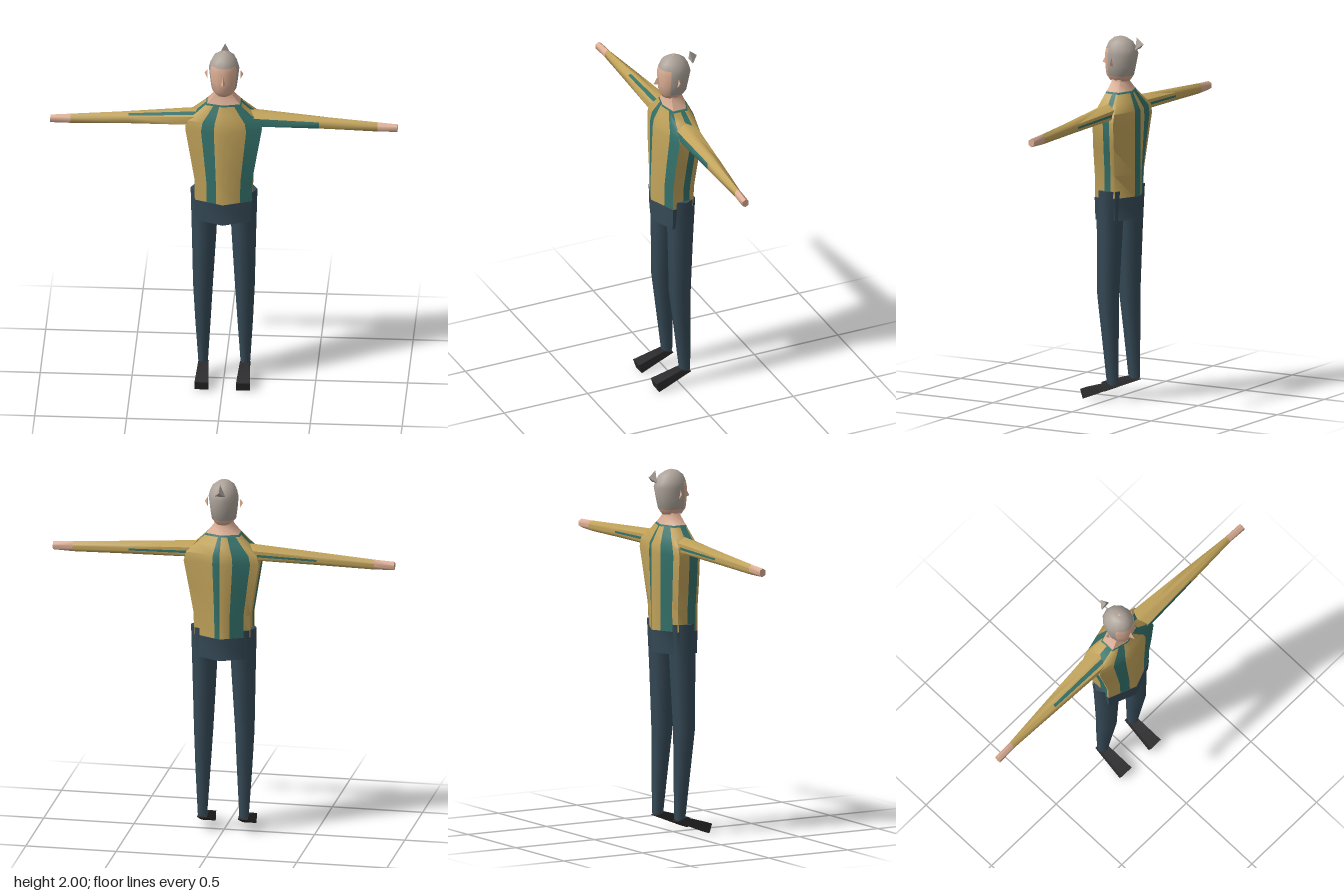
import * as THREE from 'three';
import { toCreasedNormals } from 'three/addons/utils/BufferGeometryUtils.js';
import { ConvexGeometry } from 'three/addons/geometries/ConvexGeometry.js';

const V = (x, y, z) => new THREE.Vector3(x, y, z);
const material = (name, color) => {
  const m = new THREE.MeshStandardMaterial({ color });
  m.name = name;
  return m;
};

// Joins rings of points into a closed body; paint(row, column) picks the material index.
function loft(name, rings, mats, paint = () => 0) {
  const n = rings[0].length;
  const points = rings.flat();
  const faces = mats.map(() => []);
  for (let r = 0; r < rings.length - 1; r++) {
    for (let c = 0; c < n; c++) {
      const a = r * n + c, b = r * n + (c + 1) % n;
      faces[paint(r, c)].push(a, b, a + n, b, b + n, a + n);
    }
  }
  // End caps
  [0, rings.length - 1].forEach((r, end) => {
    const mid = V(0, 0, 0);
    rings[r].forEach((p) => mid.addScaledVector(p, 1 / n));
    points.push(mid);
    for (let c = 0; c < n; c++) {
      const a = r * n + c, b = r * n + (c + 1) % n;
      faces[0].push(...(end ? [a, b, points.length - 1] : [b, a, points.length - 1]));
    }
  });
  // Turn all faces outwards
  const index = faces.flat();
  let volume = 0;
  const cross = V(0, 0, 0);
  for (let i = 0; i < index.length; i += 3) {
    volume += cross.crossVectors(points[index[i]], points[index[i + 1]]).dot(points[index[i + 2]]);
  }
  if (volume < 0) {
    for (let i = 0; i < index.length; i += 3) [index[i], index[i + 1]] = [index[i + 1], index[i]];
  }
  const geo = new THREE.BufferGeometry().setFromPoints(points);
  geo.setIndex(index);
  let start = 0;
  faces.forEach((f, i) => {
    geo.addGroup(start, f.length, i);
    start += f.length;
  });
  const mesh = new THREE.Mesh(toCreasedNormals(geo, 1.15), mats);
  mesh.name = name;
  return mesh;
}

// Points at the given positions along a polygon, one unit per corner.
const alongPolygon = (corners, cuts) => cuts.map((u) => {
  const i = Math.floor(u);
  return corners[i % corners.length].clone().lerp(corners[(i + 1) % corners.length], u - i);
});

// Horizontal oval ring between two depths.
const oval = (sides, cx, y, hx, z0, z1, turn = 0) => Array.from({ length: sides }, (_, i) => {
  const a = (i + turn) / sides * Math.PI * 2;
  return V(cx + hx * Math.cos(a), y, (z0 + z1) / 2 + (z1 - z0) / 2 * Math.sin(a));
});

export function createModel() {
  const model = new THREE.Group();
  const cloth = material('mustard cloth', 0xc0a25a);
  const stripe = material('teal stripe', 0x34716a);
  const trousers = material('dark blue trousers', 0x364a57);
  const skin = material('skin', 0xdcae94);
  const hair = material('grey hair', 0xaca299);
  const shoe = material('black shoe', 0x2c2b2d);
  const convex = (name, mat, pts) => {
    const mesh = new THREE.Mesh(new ConvexGeometry(pts.map((p) => V(...p))), mat);
    mesh.name = name;
    model.add(mesh);
  };

  // Torso, hexagonal: y, half width, front z, front corner z, back corner z, back z
  const hexagon = ([y, w, f, fc, bc, b]) =>
    [V(0, y, f), V(w, y, fc), V(w, y, bc), V(0, y, b), V(-w, y, bc), V(-w, y, fc)];
  const bands = [[0.6, 1], [1.5, 1.8], [2.8, 3], [3.33, 3.78], [4.5, 4.9], [5.42, 5.76]];
  const cuts = [...new Set([0, 1, 2, 3, 4, 5, ...bands.flat()])].sort((a, b) => a - b);
  const torso = [
    [1.12, 0.155, 0.12, 0.06, -0.06, -0.135],
    [1.25, 0.157, 0.118, 0.06, -0.065, -0.135],
    [1.4, 0.182, 0.108, 0.055, -0.075, -0.136],
    [1.55, 0.208, 0.1, 0.045, -0.085, -0.137],
    [1.6, 0.195, 0.093, 0.04, -0.085, -0.135],
    [1.65, 0.14, 0.073, 0.035, -0.07, -0.11],
    [1.692, 0.097, 0.053, 0.03, -0.055, -0.088],
    [1.702, 0.09, 0.05, 0.028, -0.05, -0.083],
  ].map((r) => alongPolygon(hexagon(r), cuts));
  const banded = (c) => bands.some(([a, b]) => cuts[c] >= a && cuts[c] < b);
  model.add(loft('stripedTop', torso, [cloth, stripe], (r, c) => (r === 6 || banded(c) ? 1 : 0)));

  // Hips and neck
  model.add(loft('hips', [
    [1.0, 0.15, 0.12, 0.06, -0.06, -0.13], [1.125, 0.157, 0.122, 0.061, -0.061, -0.136],
  ].map(hexagon), [trousers]));
  model.add(loft('neck', [
    [1.7, 0.09, 0.05, 0.028, -0.05, -0.083],
    [1.75, 0.05, 0.03, 0.018, -0.035, -0.06],
    [1.78, 0.045, 0.03, 0.018, -0.035, -0.06],
  ].map(hexagon), [skin]));

  // Head with hair over the crown, sides and back
  const head = [
    [1.755, 0.045, -0.065, 0.05], [1.785, 0.068, -0.085, 0.07], [1.84, 0.076, -0.097, 0.076],
    [1.905, 0.083, -0.11, 0.076], [1.935, 0.076, -0.1, 0.07], [1.97, 0.06, -0.08, 0.055],
    [1.99, 0.032, -0.05, 0.03], [2.0, 0.006, -0.018, -0.006],
  ].map(([y, hx, z0, z1]) => oval(12, 0, y, hx, z0, z1));
  model.add(loft('head', head, [skin, hair], (r, c) =>
    (r >= 4 || (r >= 1 && (c < 1 || c > 4)) ? 1 : 0)));

  // Nose and hair bun
  convex('nose', skin, [[0, 1.9, 0.072], [-0.012, 1.84, 0.072], [0.012, 1.84, 0.072], [0, 1.845, 0.105]]);
  convex('hairBun', hair, [[0, 2, -0.112], [-0.03, 1.935, -0.118], [0.03, 1.935, -0.118], [0, 1.965, -0.155]]);

  for (const s of [1, -1]) {
    const side = s > 0 ? 'left' : 'right';

    // Ear
    convex(side + 'Ear', skin, [[s * 0.09, 1.895, -0.005], [s * 0.09, 1.845, 0.004],
      [s * 0.09, 1.845, -0.016], [s * 0.106, 1.872, -0.008]]);

    // Sleeve and hand: x, bottom, top, back z, front z
    const armCuts = [0, 0.35, 0.75, 1, 2, 3, 4, 4.3, 4.6, 5];
    const armRing = ([x, y0, y1, z0, z1]) => {
      const corners = Array.from({ length: 6 }, (_, i) => {
        const a = i * Math.PI / 3;
        return V(s * x, (y0 + y1) / 2 + (y1 - y0) / 2 * Math.cos(a),
          (z0 + z1) / 2 + (z1 - z0) / 1.732 * Math.sin(a));
      });
      return alongPolygon(corners, armCuts);
    };
    const wrist = [0.835, 1.538, 1.595, -0.026, 0.006];
    const sleeve = [
      [0.135, 1.555, 1.647, -0.075, 0.042], [0.2, 1.55, 1.643, -0.073, 0.04],
      [0.52, 1.545, 1.619, -0.05, 0.023], wrist,
    ].map(armRing);
    const streak = (r, c) => {
      const front = c === (s > 0 ? 3 : 1);
      return r < 2 && (front || c === 7) ? 1 : 0;
    };
    model.add(loft(side + 'Sleeve', sleeve, [cloth, stripe], streak));
    model.add(loft(side + 'Hand', [wrist, [0.945, 1.541, 1.588, -0.024, 0.012]].map(armRing), [skin]));

    // Trouser leg: y, centre x, half width, back z, front z
    const leg = [
      [1.165, 0.105, 0.077, -0.078, 0.06], [0.9, 0.108, 0.067, -0.065, 0.056],
      [0.58, 0.114, 0.054, -0.052, 0.054], [0.35, 0.115, 0.042, -0.054, 0.028],
      [0.088, 0.115, 0.026, -0.055, 0.0],
    ].map(([y, cx, hx, z0, z1]) => {
      const mid = (z0 + z1) / 2, half = (z1 - z0) / 1.732;
      return oval(6, s * cx, y, hx, mid - half, mid + half);
    });
    model.add(loft(side + 'Leg', leg, [trousers]));

    // Shoe sloping down to the toes
    const shoeRing = (hx, y1, z1, y0, z0) => [V(s * 0.113 - hx, y1, z1), V(s * 0.113 + hx, y1, z1),
      V(s * 0.113 + hx, y0, z0), V(s * 0.113 - hx, y0, z0)];
    model.add(loft(side + 'Shoe', [
      shoeRing(0.027, 0.098, 0.0, 0.078, -0.056), shoeRing(0.038, 0.052, 0.157, 0, 0.14),
    ], [shoe]));
  }
  return model;
}
